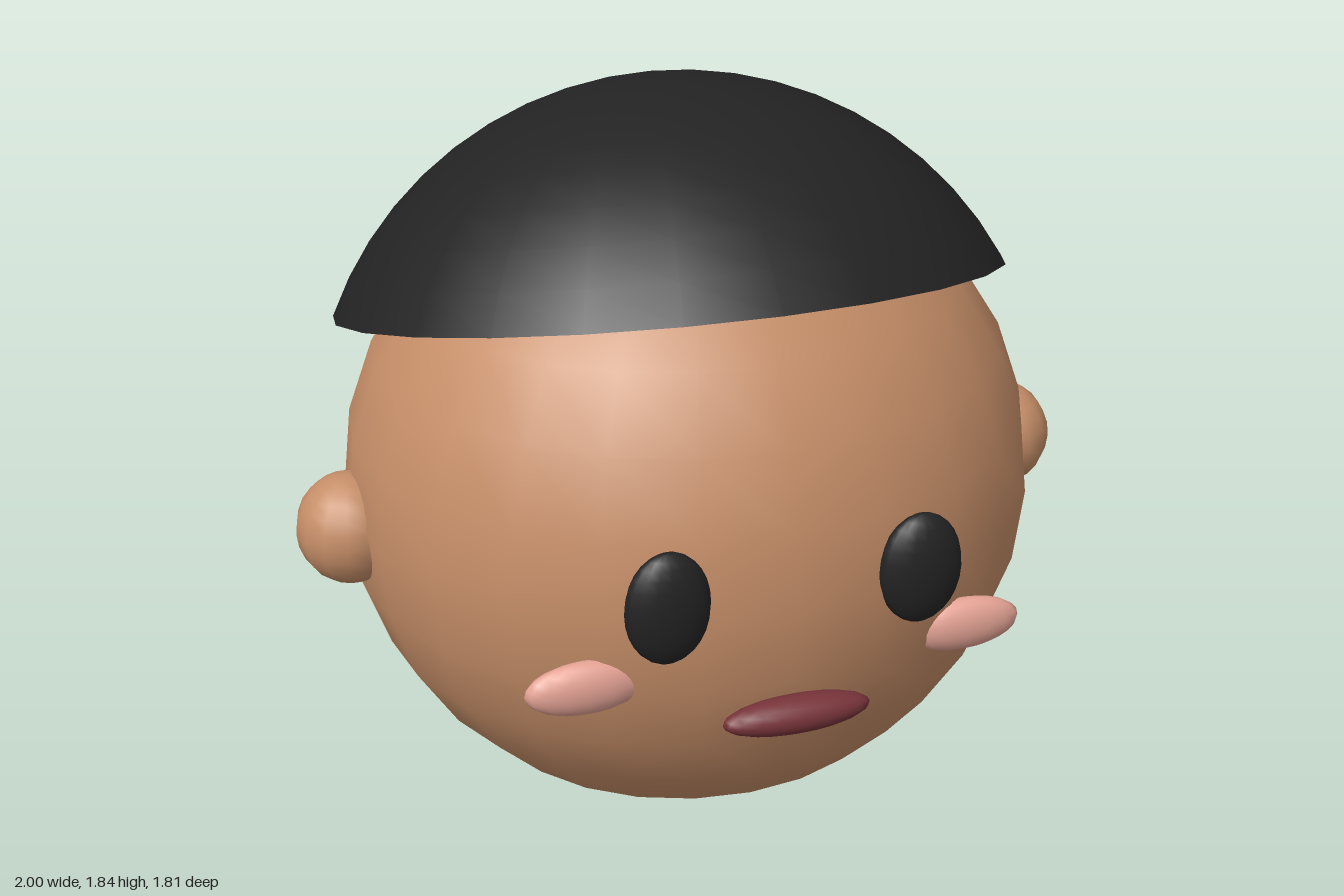
import * as THREE from 'three';

const makeMaterial = (name, color, side = THREE.FrontSide) => {
  const m = new THREE.MeshStandardMaterial({ color, side });
  m.name = name;
  return m;
};

export function createModel() {
  const group = new THREE.Group();
  group.name = 'roundHead';

  const skin = makeMaterial('skin', 0xc68e68);
  const black = makeMaterial('black', 0x232323, THREE.DoubleSide);
  const blush = makeMaterial('blush', 0xe6a496);
  const lip = makeMaterial('lip', 0x78343a);

  // Ellipsoid from centre and radii
  const ellipsoid = (name, material, centre, radii, w = 16, h = 12) => {
    const mesh = new THREE.Mesh(new THREE.SphereGeometry(1, w, h).scale(...radii), material);
    mesh.name = name;
    mesh.position.set(...centre);
    group.add(mesh);
    return mesh;
  };

  ellipsoid('head', skin, [0, 0.857, 0.058], [0.868, 0.855, 0.803], 24, 14);
  ellipsoid('mouth', lip, [0, 0.596, 0.855], [0.18, 0.045, 0.05], 20, 12);

  // Paired features
  for (const [side, s] of [['left', 1], ['right', -1]]) {
    ellipsoid(side + 'Ear', skin, [s * 0.868, 0.827, 0.06], [0.132, 0.14, 0.135], 14, 12);
    ellipsoid(side + 'Eye', black, [s * 0.303, 0.913, 0.832], [0.101, 0.139, 0.05], 16, 14);
    ellipsoid(side + 'Cheek', blush, [s * 0.465, 0.683, 0.732], [0.146, 0.067, 0.042], 16, 12);
  }

  // Hair: open spherical cap, tipped backwards
  const hair = new THREE.Mesh(
    new THREE.SphereGeometry(0.935, 24, 10, 0, Math.PI * 2, 0, 1.129), black);
  hair.name = 'hair';
  hair.position.set(0, 0.91, 0.017);
  hair.rotation.x = -0.278;
  group.add(hair);

  return group;
}
